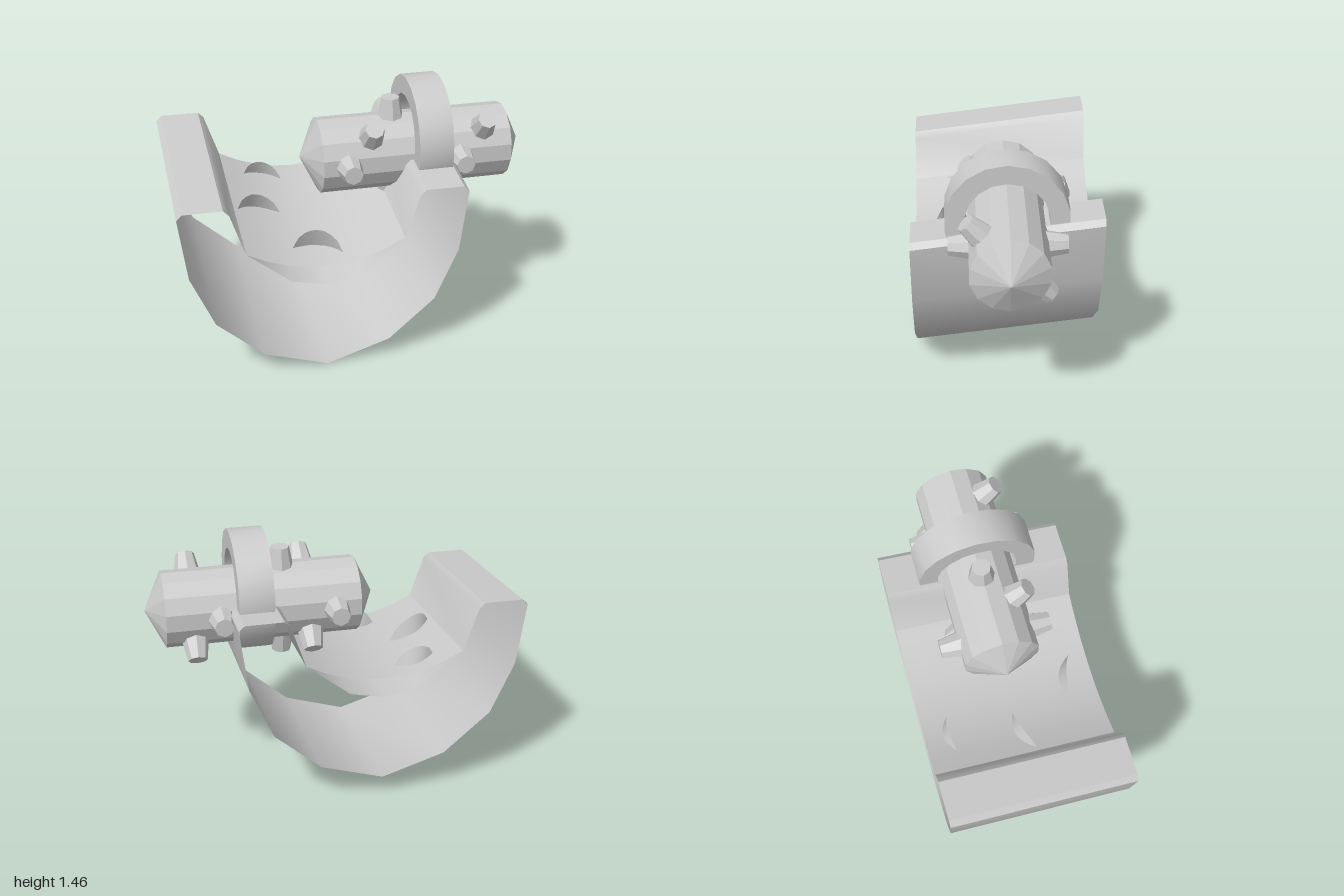
import * as THREE from 'three';
import { toCreasedNormals } from 'three/addons/utils/BufferGeometryUtils.js';

const DEPTH = 0.51;   // half depth of the trough
const CX = -0.22;     // trough centre line
const lift = (z) => (DEPTH - z) * 0.1225;   // the trough rises towards the back
const floorY = (x, z) => 0.63 + 0.12 * ((x - CX) / 0.43) ** 2 + lift(z);

const smooth = new THREE.MeshStandardMaterial({ color: 0xcccccc, side: THREE.DoubleSide });
const faceted = new THREE.MeshStandardMaterial({ color: 0xcccccc, flatShading: true });

// Surface between two rows of points
function strip(a, b, crease = 0.63) {
  const pos = [], index = [], n = a.length;
  for (const p of [...a, ...b]) pos.push(...p);
  for (let i = 0; i < n - 1; i++) index.push(i, n + i, i + 1, i + 1, n + i, n + i + 1);
  const g = new THREE.BufferGeometry();
  g.setAttribute('position', new THREE.Float32BufferAttribute(pos, 3));
  g.setIndex(index);
  return toCreasedNormals(g, crease);
}

// Sweep an x/y profile from the front to the back of the trough
function sweep(profile) {
  const at = (z) => profile.map(([x, y]) => [x, y + lift(z), z]);
  return strip(at(DEPTH), at(-DEPTH));
}

function add(parent, name, geometry, material) {
  const mesh = new THREE.Mesh(geometry, material);
  mesh.name = name;
  parent.add(mesh);
  return mesh;
}

// Curled crescent blade standing on the bed between two tips
function crescent([x0, z0], [x1, z1], bulge, height) {
  const base = [], top = [], n = 8;
  const len = Math.hypot(x1 - x0, z1 - z0);
  const nx = (z1 - z0) / len, nz = -(x1 - x0) / len;   // towards the back
  for (let i = 0; i <= n; i++) {
    const t = i / n, k = 4 * t * (1 - t);
    const point = (b, h) => {
      const x = x0 + (x1 - x0) * t + nx * b * k;
      const z = z0 + (z1 - z0) * t + nz * b * k;
      return [x, floorY(x, z) + h * Math.pow(k, 0.7), z];
    };
    base.push(point(bulge, 0));
    top.push(point(bulge * 0.4, height));
  }
  return strip(base, top, 1);
}

export function createModel() {
  const model = new THREE.Group();

  // Hollow trough shell: right half of the profile, mirrored about its centre
  const outer = [[0, 0.005], [0.35, 0.117], [0.607, 0.345], [0.735, 0.64], [0.78, 0.99]];
  const inner = [[0.75, 1.02], [0.54, 1.02], [0.51, 0.99], [0.43, 0.75], [0.19, 0.557], [0, 0.515]];
  const half = [...outer, ...inner];
  const mirrored = half.slice(0, -1).reverse().map(([x, y]) => [-x, y]);
  const loop = [...half, ...mirrored].map(([x, y]) => [x + CX, y]);
  add(model, 'troughShell', sweep(loop), smooth);

  // Shallow curved bed lying inside the trough
  const bed = [];
  for (let i = 0; i <= 8; i++) {
    const x = CX + 0.43 - 0.86 * i / 8;
    bed.push([x, floorY(x, DEPTH)]);
  }
  add(model, 'bed', sweep(bed), smooth);

  // Crescent blades on the bed
  [
    [[-0.53, -0.36], [-0.31, -0.36], 0.05, 0.09],
    [[-0.63, 0.07], [-0.38, 0.0], 0.055, 0.1],
    [[-0.375, 0.345], [-0.11, 0.42], 0.065, 0.12],
  ].forEach((args) => add(model, 'crescentBlade', crescent(...args), smooth));

  // Studded roller with pointed ends
  const roller = new THREE.Group();
  roller.name = 'roller';
  roller.position.y = 1.045;
  model.add(roller);
  const body = [[0, -0.6325], [0.21, -0.5325], [0.21, 0.5325], [0, 0.6325]]
    .map(([x, y]) => new THREE.Vector2(x, y));
  const drum = add(roller, 'rollerBody', new THREE.LatheGeometry(body, 14, Math.PI / 2), faceted);
  drum.rotation.z = Math.PI / 2;
  drum.position.x = 0.3675;

  // Tapered studs in opposite pairs
  const studGeometry = new THREE.CylinderGeometry(0.052, 0.076, 0.13, 8).translate(0, 0.245, 0);
  const pairs = [[-0.025, 90], [0.11, 45], [0.25, 0], [0.605, 90], [0.745, 45]];
  for (const [x, angle] of pairs) {
    for (const turn of [0, 180]) {
      const stud = add(roller, 'stud', studGeometry, faceted);
      stud.position.x = x;
      stud.rotation.x = THREE.MathUtils.degToRad(angle + turn);
    }
  }

  // Ring that hangs the roller on the rim
  const section = [[0.33, -0.095], [0.33, 0.095], [0.225, 0.095], [0.225, -0.095], [0.33, -0.095]]
    .map(([x, y]) => new THREE.Vector2(x, y));
  const ringGeometry = toCreasedNormals(new THREE.LatheGeometry(section, 18, Math.PI / 2), 0.6);
  const ring = add(model, 'hangingRing', ringGeometry, smooth);
  ring.rotation.z = Math.PI / 2;
  ring.position.set(0.43, 1.13, 0);

  return model;
}
